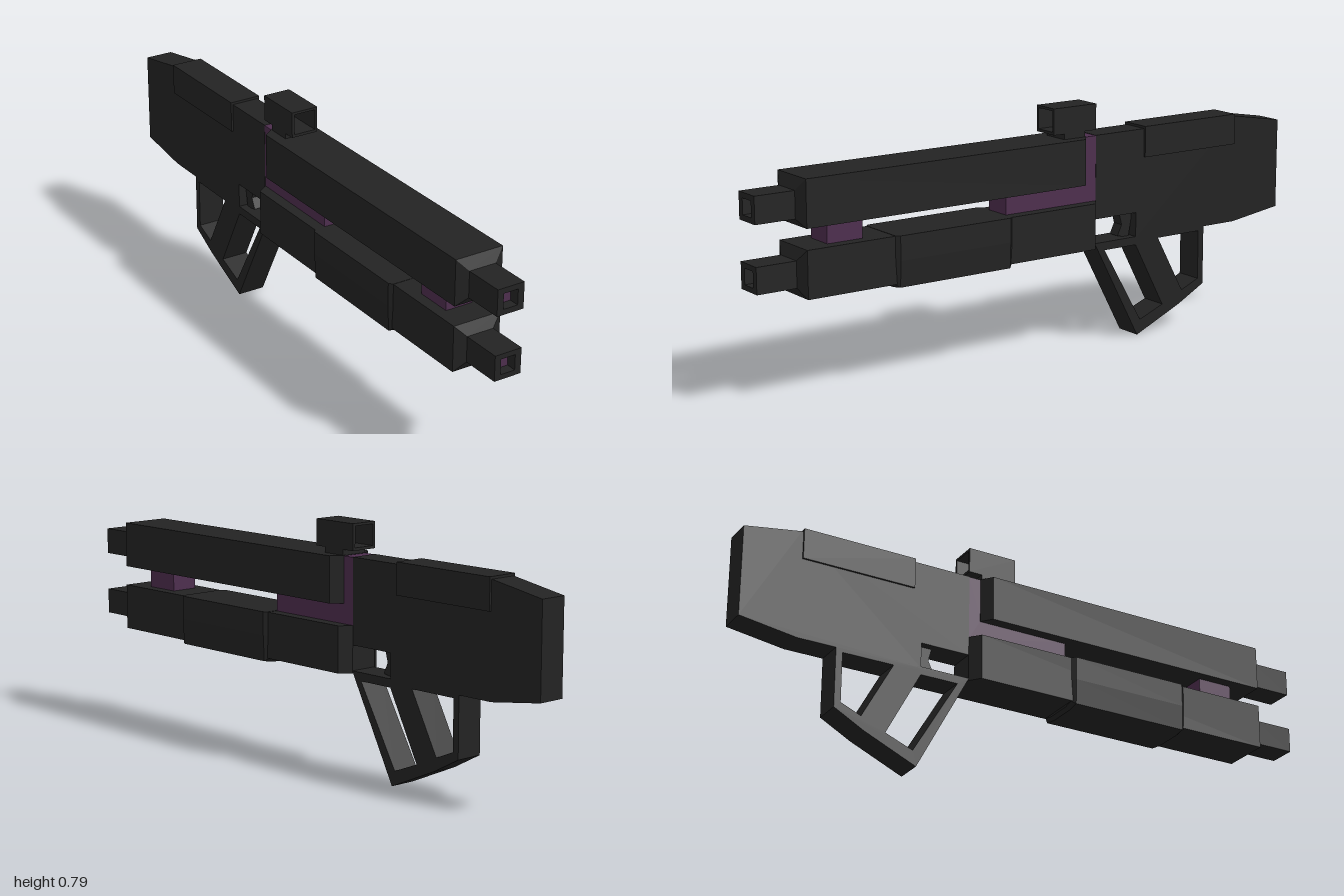
import * as THREE from 'three';

const dark = new THREE.MeshStandardMaterial({ color: 0x232323 });
dark.name = 'charcoal';
const purple = new THREE.MeshStandardMaterial({ color: 0x4d2e4e });
purple.name = 'plum';

// Cross-section ring, counter-clockwise seen from the front
const rect = (hw, y0, y1) => [[-hw, y0], [hw, y0], [hw, y1], [-hw, y1]];

// Flat-faced skin through [z, ring] sections listed back to front
function loft(sections, capFront = true) {
  const pos = [];
  const rings = sections.map(([z, ring]) => ring.map(([x, y]) => [x, y, z]));
  const tri = (a, b, c) => pos.push(...a, ...b, ...c);
  const n = rings[0].length;
  for (let s = 0; s < rings.length - 1; s++) {
    for (let i = 0; i < n; i++) {
      const j = (i + 1) % n;
      const a = rings[s][i], b = rings[s][j], c = rings[s + 1][j], d = rings[s + 1][i];
      tri(a, b, c);
      tri(a, c, d);
    }
  }
  const back = rings[0], front = rings[rings.length - 1];
  for (let i = 1; i < n - 1; i++) {
    tri(back[0], back[i + 1], back[i]);
    if (capFront) tri(front[0], front[i], front[i + 1]);
  }
  const geo = new THREE.BufferGeometry();
  geo.setAttribute('position', new THREE.Float32BufferAttribute(pos, 3));
  geo.computeVertexNormals();
  return geo;
}

// Side outline of [z, y] points, extruded across x to the given half-width
function sidePlate(points, hw, holes = []) {
  const toVecs = (list) => list.map(([z, y]) => new THREE.Vector2(z, y));
  const shape = new THREE.Shape(toVecs(points));
  holes.forEach((h) => shape.holes.push(new THREE.Path(toVecs(h))));
  const geo = new THREE.ExtrudeGeometry(shape, { depth: hw * 2, bevelEnabled: false });
  return geo.translate(0, 0, -hw).rotateY(-Math.PI / 2);
}

// Box from its extents in y and z, centred on x
const block = (hw, y0, y1, z0, z1) =>
  new THREE.BoxGeometry(hw * 2, y1 - y0, z1 - z0).translate(0, (y0 + y1) / 2, (z0 + z1) / 2);

export function createModel() {
  const group = new THREE.Group();
  const add = (name, geo, mat = dark) => {
    const mesh = new THREE.Mesh(geo, mat);
    mesh.name = name;
    group.add(mesh);
    return mesh;
  };

  // Two square barrels: chamfered rear, tapered collar, hollow muzzle
  const barrels = [
    { name: 'upperBarrel', y0: 0.54, y1: 0.688, m0: 0.565, m1: 0.65, back: -0.19 },
    { name: 'lowerBarrel', y0: 0.327, y1: 0.476, m0: 0.357, m1: 0.44, back: -0.23 },
  ];
  for (const { name, y0, y1, m0, m1, back } of barrels) {
    const mid = (m0 + m1) / 2;
    const bore = rect(0.025, mid - 0.025, mid + 0.025);
    add(name, loft([
      [back, rect(0.046, y0, y1)],
      [back + 0.027, rect(0.082, y0, y1)],
      [0.85, rect(0.082, y0, y1)],
      [0.867, rect(0.046, m0, m1)],
      [1, rect(0.046, m0, m1)],
      [1, bore],
      [0.965, bore],
    ], false));
    add(name + 'Core', block(0.025, mid - 0.025, mid + 0.025, 0.958, 0.966), purple);
  }

  // Handguard around the lower barrel, with bevelled ends
  const guardRing = (k) => [
    [-0.045, 0.31 + k], [0.045, 0.31 + k], [0.088 - k, 0.317 + k], [0.092 - k, 0.4],
    [0.092 - k, 0.477], [-0.092 + k, 0.477], [-0.092 + k, 0.4], [-0.088 + k, 0.317 + k],
  ];
  add('handguard', loft([
    [0.122, guardRing(0.01)], [0.134, guardRing(0)],
    [0.536, guardRing(0)], [0.548, guardRing(0.01)],
  ]));

  // Coloured connectors between the barrels
  add('frontConnector', block(0.046, 0.47, 0.545, 0.64, 0.762), purple);
  add('rearConnector', sidePlate([
    [0.12, 0.47], [0.12, 0.545], [-0.187, 0.545], [-0.187, 0.687], [-0.232, 0.687], [-0.232, 0.47],
  ], 0.0455), purple);

  // Stock with the trigger notch cut below its front
  add('stock', sidePlate([
    [-0.23, 0.688], [-0.23, 0.415], [-0.395, 0.415], [-0.395, 0.33],
    [-0.81, 0.33], [-1, 0.357], [-1, 0.655], [-0.81, 0.688],
  ], 0.046));
  add('cheekPlate', block(0.053, 0.595, 0.696, -0.805, -0.425));

  // Open grip frame and trigger guard
  add('grip', sidePlate([
    [-0.228, 0.335], [-0.405, 0.003], [-0.58, 0.08], [-0.682, 0.135], [-0.682, 0.335],
  ], 0.046, [
    [[-0.268, 0.308], [-0.395, 0.308], [-0.51, 0.09], [-0.417, 0.053]],
    [[-0.488, 0.318], [-0.66, 0.318], [-0.66, 0.155], [-0.592, 0.126]],
  ]));
  add('trigger', sidePlate([
    [-0.345, 0.42], [-0.357, 0.375], [-0.34, 0.34], [-0.385, 0.33], [-0.4, 0.42],
  ], 0.02));

  // Box sight, open from front to back, on a short mount
  add('sightMount', block(0.046, 0.68, 0.712, -0.186, -0.105));
  const outer = rect(0.046, 0.706, 0.79);
  const frame = new THREE.Shape(outer.map(([x, y]) => new THREE.Vector2(x, y)));
  frame.holes.push(new THREE.Path(rect(0.037, 0.715, 0.782).map(([x, y]) => new THREE.Vector2(x, y))));
  add('sightFrame', new THREE.ExtrudeGeometry(frame, { depth: 0.165, bevelEnabled: false })
    .translate(0, 0, -0.23));

  return group;
}
